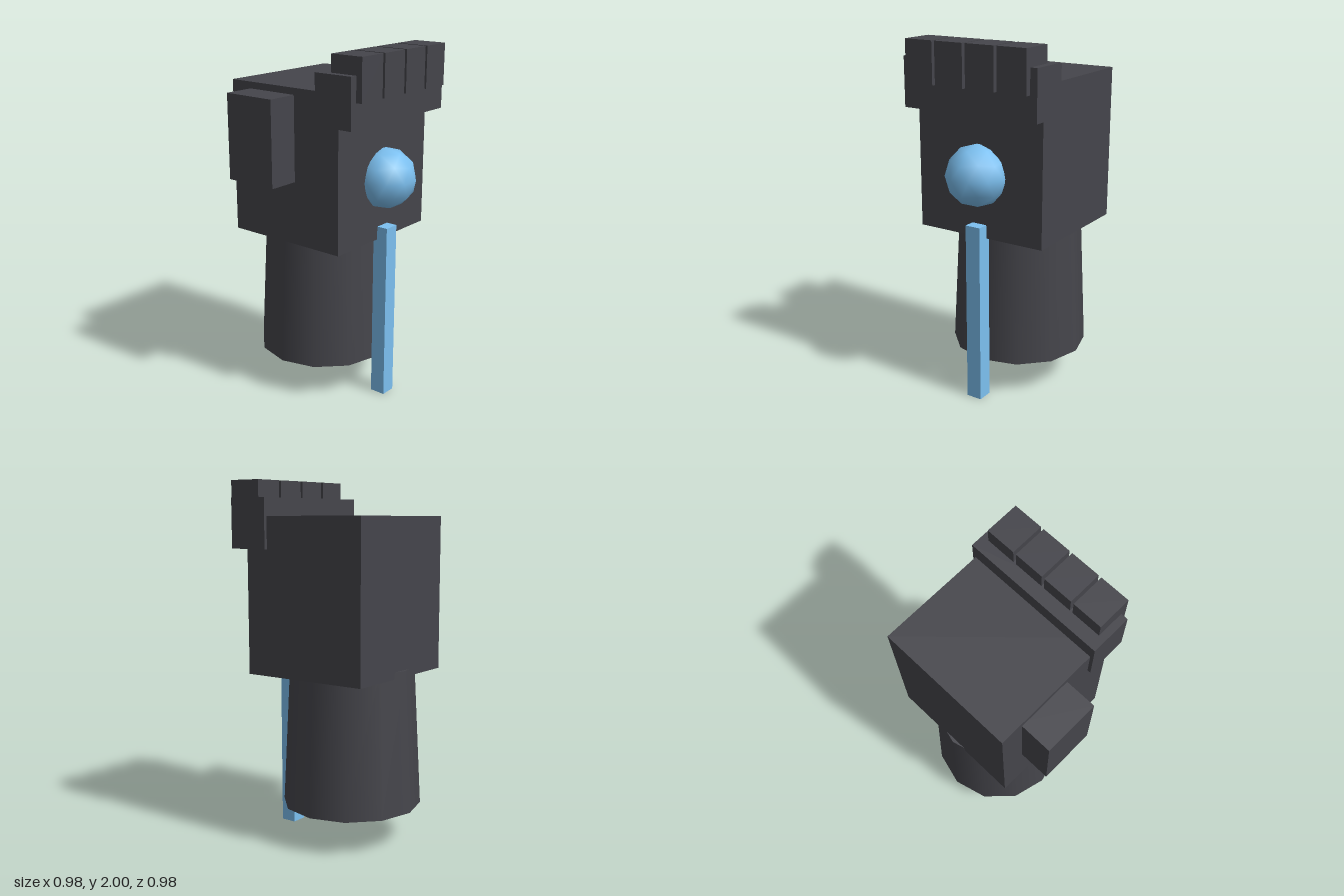
import * as THREE from 'three';

export function createModel() {
  const model = new THREE.Group();
  const dark = new THREE.MeshStandardMaterial({ color: 0x45454b });
  const blue = new THREE.MeshStandardMaterial({ color: 0x7cc0f0 });
  const midX = 0.077; // the hand is mirrored about this plane, apart from its thumb

  function add(name, geometry, material, x, y, z) {
    const mesh = new THREE.Mesh(geometry, material);
    mesh.name = name;
    mesh.position.set(x, y, z);
    model.add(mesh);
    return mesh;
  }

  // Box given by its lower and upper limits on each axis
  function addBox(name, material, [x0, x1], [y0, y1], [z0, z1]) {
    return add(name, new THREE.BoxGeometry(x1 - x0, y1 - y0, z1 - z0), material,
      (x0 + x1) / 2, (y0 + y1) / 2, (z0 + z1) / 2);
  }

  // Tapered twelve-sided wrist, reaching a little into the palm
  add('wrist', new THREE.CylinderGeometry(0.35, 0.39, 0.785, 12), dark, midX, 0.5925, -0.103);

  // Palm block, knuckle bar and thumb
  addBox('palm', dark, [-0.314, 0.468], [0.947, 1.807], [-0.434, 0.311]);
  addBox('knuckles', dark, [-0.333, 0.487], [1.632, 1.905], [0.173, 0.406]);
  addBox('thumb', dark, [-0.49, -0.29], [1.3, 1.77], [-0.3, 0.013]);

  // Four curled fingers
  for (let i = 0; i < 4; i++) {
    const x = midX + (i - 1.5) * 0.189;
    addBox('finger' + (i + 1), dark, [x - 0.086, x + 0.086], [1.77, 2], [0.247, 0.441]);
  }

  // Faceted ball set in the palm, with one corner pointing straight up
  const ball = new THREE.IcosahedronGeometry(0.172, 1);
  ball.rotateZ(Math.atan(2 / (1 + Math.sqrt(5))));
  ball.rotateY(Math.PI / 2);
  add('palmBall', ball, blue, midX, 1.297, 0.328);

  // Square rod hanging in front of the wrist
  addBox('rod', blue, [0.032, 0.122], [0, 1.023], [0.286, 0.376]);

  return model;
}
